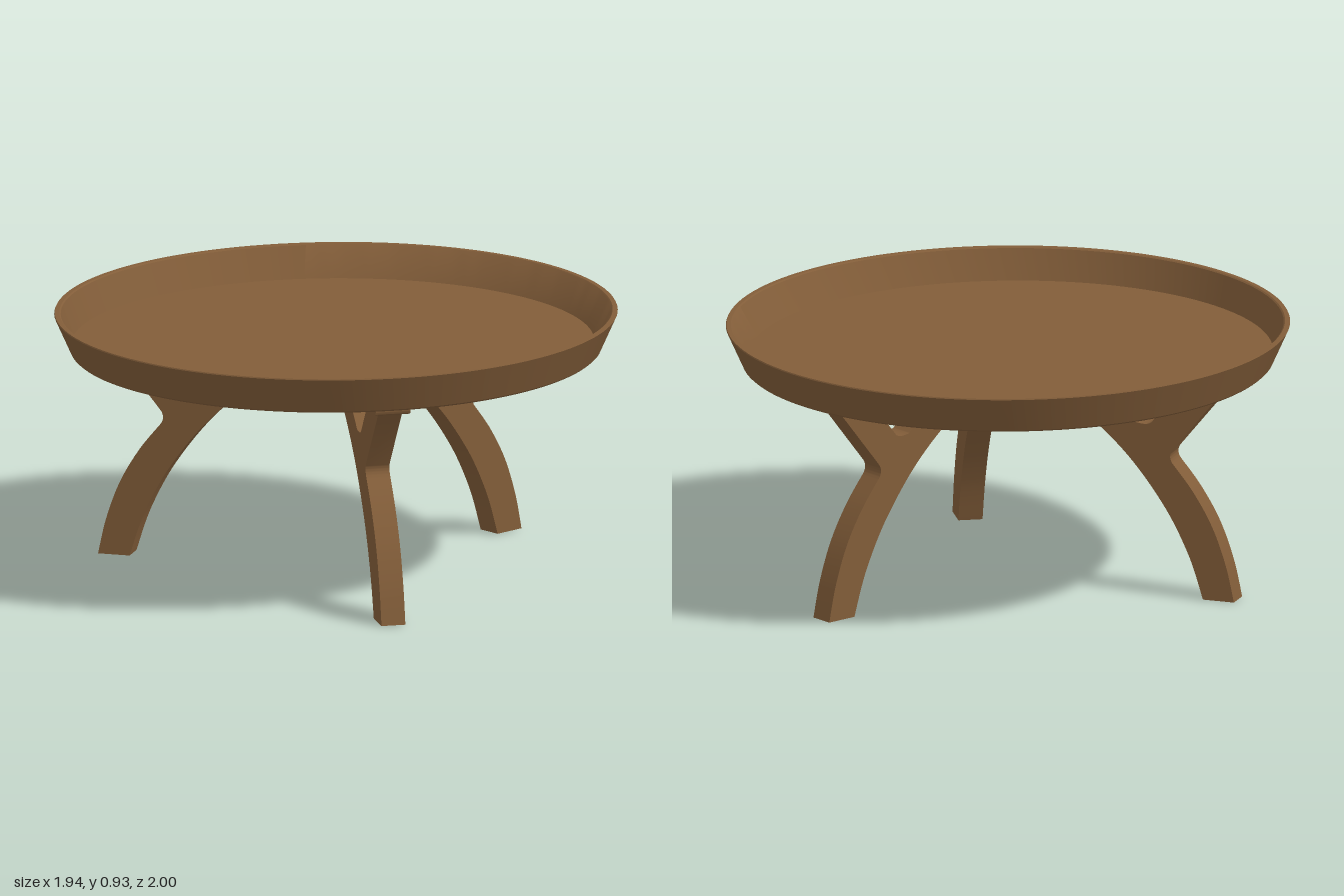
import * as THREE from 'three';
import { toCreasedNormals } from 'three/addons/utils/BufferGeometryUtils.js';

const LEG_WIDTH = 0.086;
const PAD_WIDTH = 0.125;

const vectors = (list) => list.map(([x, y]) => new THREE.Vector2(x, y));

// Extrudes a (radius, height) profile, centred on its thickness
function slab(shape, width) {
  const geo = new THREE.ExtrudeGeometry(shape, { depth: width, bevelEnabled: false, curveSegments: 10 });
  geo.translate(0, 0, -width / 2);
  return toCreasedNormals(geo, 0.5);
}

// Shallow dish with sloping wall; slightly oval, floor a little forward
function trayGeometry() {
  const geo = new THREE.LatheGeometry(vectors([
    [0, 0.79], [0.934, 0.79], [0.941, 0.796], [0.998, 0.922], [0.996, 0.926],
    [0.98, 0.926], [0.975, 0.922], [0.926, 0.815], [0, 0.815],
  ]), 128);
  const pos = geo.attributes.position;
  for (let i = 0; i < pos.count; i++) {
    pos.setX(i, pos.getX(i) * 0.974);
    if (Math.abs(pos.getY(i) - 0.815) < 0.001) pos.setZ(i, pos.getZ(i) + 0.015);
  }
  return toCreasedNormals(geo, 0.4);
}

// Curved leg with a forked strut, drawn in radius and height
function legShape() {
  const s = new THREE.Shape();
  s.moveTo(0, 0.79);
  s.lineTo(0.02, 0.787);
  s.splineThru(vectors([[0.25, 0.672], [0.44, 0.52], [0.59, 0.335], [0.685, 0.16], [0.74, 0]]));
  s.lineTo(0.855, 0);
  s.splineThru(vectors([[0.825, 0.13], [0.775, 0.265], [0.705, 0.385], [0.628, 0.482]]));
  s.quadraticCurveTo(0.61, 0.505, 0.625, 0.53);
  s.lineTo(0.81, 0.757);
  s.lineTo(0.655, 0.757);
  s.lineTo(0.55, 0.628);
  s.quadraticCurveTo(0.535, 0.612, 0.49, 0.622);
  s.splineThru(vectors([[0.42, 0.675], [0.33, 0.732], [0.225, 0.79]]));
  s.closePath();
  return s;
}

// Mounting pad with a rounded outer lower corner
function padShape() {
  const s = new THREE.Shape();
  s.moveTo(0.655, 0.79);
  s.lineTo(0.655, 0.756);
  s.lineTo(0.835, 0.756);
  s.quadraticCurveTo(0.85, 0.756, 0.85, 0.771);
  s.lineTo(0.85, 0.79);
  s.closePath();
  return s;
}

export function createModel() {
  const wood = new THREE.MeshStandardMaterial({ color: 0x825d39 });
  wood.name = 'brown wood';

  const table = new THREE.Group();
  table.name = 'trayTable';

  const add = (parent, name, geometry) => {
    const mesh = new THREE.Mesh(geometry, wood);
    mesh.name = name;
    parent.add(mesh);
  };

  add(table, 'tray', trayGeometry());

  // Three legs: one at the back, two towards the front
  const legGeo = slab(legShape(), LEG_WIDTH);
  const padGeo = slab(padShape(), PAD_WIDTH);
  const places = [['back', 90], ['frontLeft', -30], ['frontRight', 210]];
  for (const [place, degrees] of places) {
    const group = new THREE.Group();
    group.name = `${place}LegAssembly`;
    group.rotation.y = THREE.MathUtils.degToRad(degrees);
    add(group, `${place}Leg`, legGeo);
    add(group, `${place}Pad`, padGeo);
    table.add(group);
  }
  return table;
}
